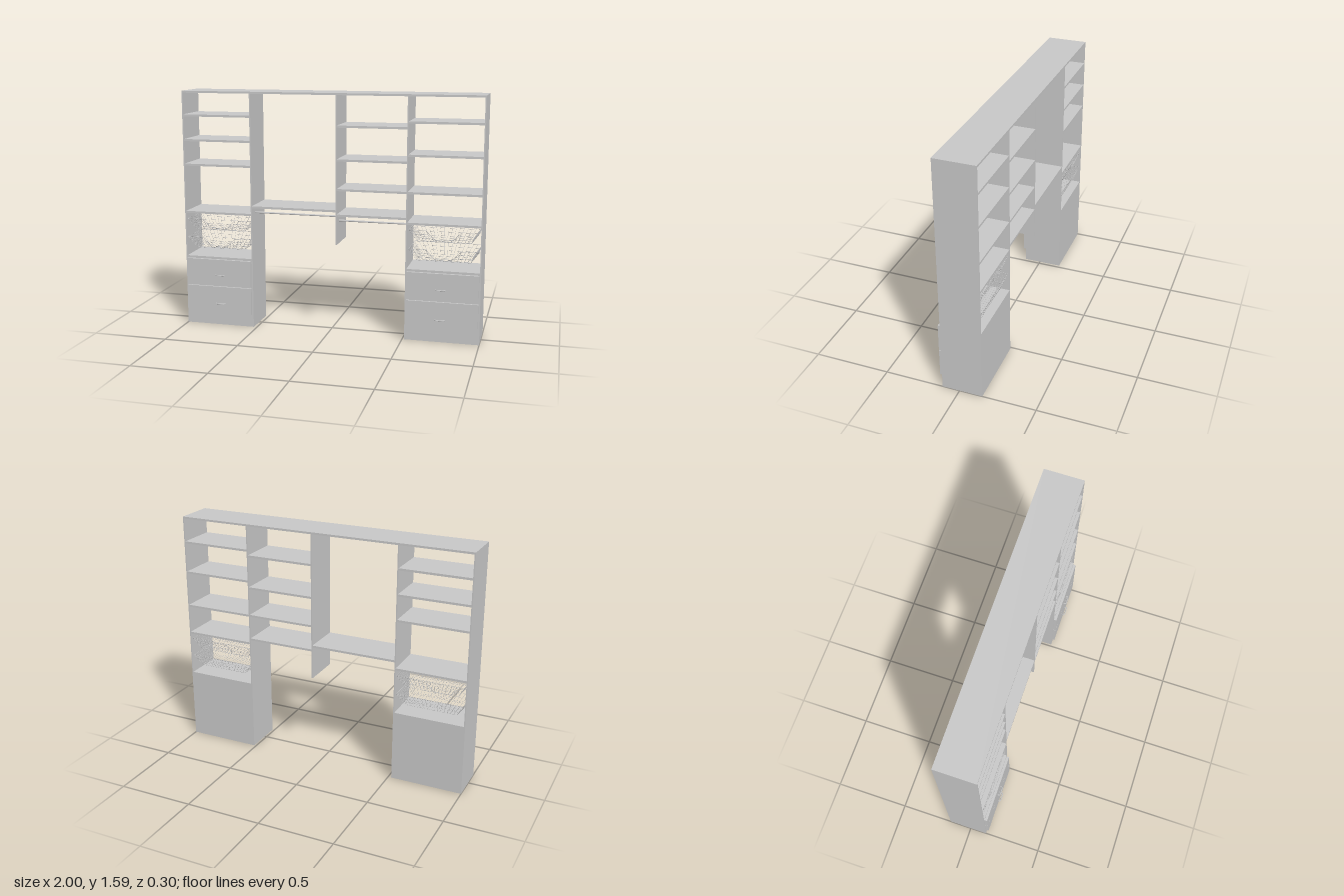
import * as THREE from 'three';
import { mergeGeometries } from 'three/addons/utils/BufferGeometryUtils.js';

const BACK = -0.151, FRONT = 0.114, TOP = 1.592;
const grey = new THREE.MeshStandardMaterial({ color: 0xc6c6c6 });
grey.name = 'light grey laminate';

export function createModel() {
  const model = new THREE.Group();
  model.name = 'closetOrganizer';

  function box(name, x0, x1, y0, y1, z0 = BACK, z1 = FRONT) {
    const mesh = new THREE.Mesh(new THREE.BoxGeometry(x1 - x0, y1 - y0, z1 - z0), grey);
    mesh.position.set((x0 + x1) / 2, (y0 + y1) / 2, (z0 + z1) / 2);
    mesh.name = name;
    model.add(mesh);
  }

  // straight rod between two points
  function rodGeometry(a, b, radius, sides) {
    const dir = b.clone().sub(a);
    const geo = new THREE.CylinderGeometry(radius, radius, dir.length(), sides);
    const turn = new THREE.Quaternion().setFromUnitVectors(new THREE.Vector3(0, 1, 0), dir.normalize());
    geo.applyQuaternion(turn);
    return geo.translate((a.x + b.x) / 2, (a.y + b.y) / 2, (a.z + b.z) / 2);
  }

  // top board and upright panels
  box('topBoard', -1, 1, TOP - 0.013, TOP);
  for (const [x, bottom] of [[-0.996, 0], [-0.526, 0], [0.055, 0.605], [0.518, 0], [0.996, 0]]) {
    box('uprightPanel', x - 0.004, x + 0.004, bottom, TOP - 0.013);
  }

  // shelves of each bay
  const bays = [
    [-0.992, -0.53, [1.43, 1.265, 1.1, 0.777]],
    [-0.522, 0.051, [0.83]],
    [0.059, 0.514, [1.38, 1.163, 0.97, 0.802]],
    [0.522, 0.992, [1.417, 1.208, 0.97, 0.772]],
  ];
  for (const [x0, x1, heights] of bays) {
    for (const y of heights) box('shelf', x0, x1, y - 0.007, y + 0.007);
  }

  // hanging rods
  for (const [x0, x1, y] of [[-0.522, 0.051, 0.785], [0.059, 0.514, 0.758]]) {
    const rod = new THREE.Mesh(
      rodGeometry(new THREE.Vector3(x0, y, 0.05), new THREE.Vector3(x1, y, 0.05), 0.006, 16), grey);
    rod.name = 'hangingRod';
    model.add(rod);
  }

  // wire basket: tapered, with a dip in the middle of the front rim
  function basket(cx, bottom, rim) {
    const cz = (BACK + FRONT) / 2, wires = [];
    const point = (u, v, t) => {
      let y = THREE.MathUtils.lerp(bottom, rim, t);
      if (v === 1) {
        const dip = THREE.MathUtils.clamp((0.5 - Math.abs(u)) / 0.25, 0, 1);
        y -= (y - bottom) * dip * 0.75;
      }
      return new THREE.Vector3(cx + u * (0.172 + 0.053 * t), y, cz + v * (0.1 + 0.024 * t));
    };
    const wire = (a, b, r = 0.0009) => {
      if (a.distanceTo(b) > 0.001) wires.push(rodGeometry(a, b, r, 5));
    };
    const nx = 16, nz = 10;
    for (const t of [0, 0.33, 0.67, 1]) {
      const r = t === 1 ? 0.0016 : 0.0009;
      for (const s of [-1, 1]) {
        wire(point(s, -1, t), point(s, 1, t), r);
        for (let i = 0; i < nx; i++) {
          wire(point(-1 + 2 * i / nx, s, t), point(-1 + 2 * (i + 1) / nx, s, t), r);
        }
      }
    }
    for (let i = 0; i <= nx; i++) {
      const u = -1 + 2 * i / nx;
      wire(point(u, -1, 0), point(u, 1, 0));
      for (const s of [-1, 1]) wire(point(u, s, 0), point(u, s, 1));
    }
    for (let i = 1; i < nz; i++) {
      const v = -1 + 2 * i / nz;
      if (i % 3 === 0) wire(point(-1, v, 0), point(1, v, 0));
      for (const s of [-1, 1]) wire(point(s, v, 0), point(s, v, 1));
    }
    const mesh = new THREE.Mesh(mergeGeometries(wires), grey);
    mesh.name = 'wireBasket';
    model.add(mesh);
  }

  // bow handle
  function handle(x, y) {
    const z = 0.13, path = new THREE.CurvePath();
    const pts = [[-0.03, z], [-0.03, 0.143], [-0.023, 0.148], [0.023, 0.148], [0.03, 0.143], [0.03, z]]
      .map(([dx, pz]) => new THREE.Vector3(x + dx, y, pz));
    for (let i = 1; i < pts.length; i++) path.add(new THREE.LineCurve3(pts[i - 1], pts[i]));
    const mesh = new THREE.Mesh(new THREE.TubeGeometry(path, 30, 0.0035, 8), grey);
    mesh.name = 'drawerHandle';
    model.add(mesh);
  }

  // the two drawer towers
  for (const [x0, x1] of [[-0.992, -0.53], [0.522, 0.992]]) {
    const cx = (x0 + x1) / 2 + (x0 < 0 ? 0.011 : -0.011);
    box('drawerCabinet', x0, x1, 0, 0.461, BACK, FRONT - 0.001);
    box('cabinetTop', x0, x1, 0.461, 0.475);
    box('lowerDrawerFront', x0 + 0.003, x1 - 0.003, 0.085, 0.272, FRONT, 0.132);
    box('upperDrawerFront', x0 + 0.003, x1 - 0.003, 0.276, 0.46, FRONT, 0.132);
    handle(cx, 0.155);
    handle(cx, 0.355);
    basket((x0 + x1) / 2, 0.53, 0.605);
    basket((x0 + x1) / 2, 0.655, 0.73);
  }
  return model;
}
